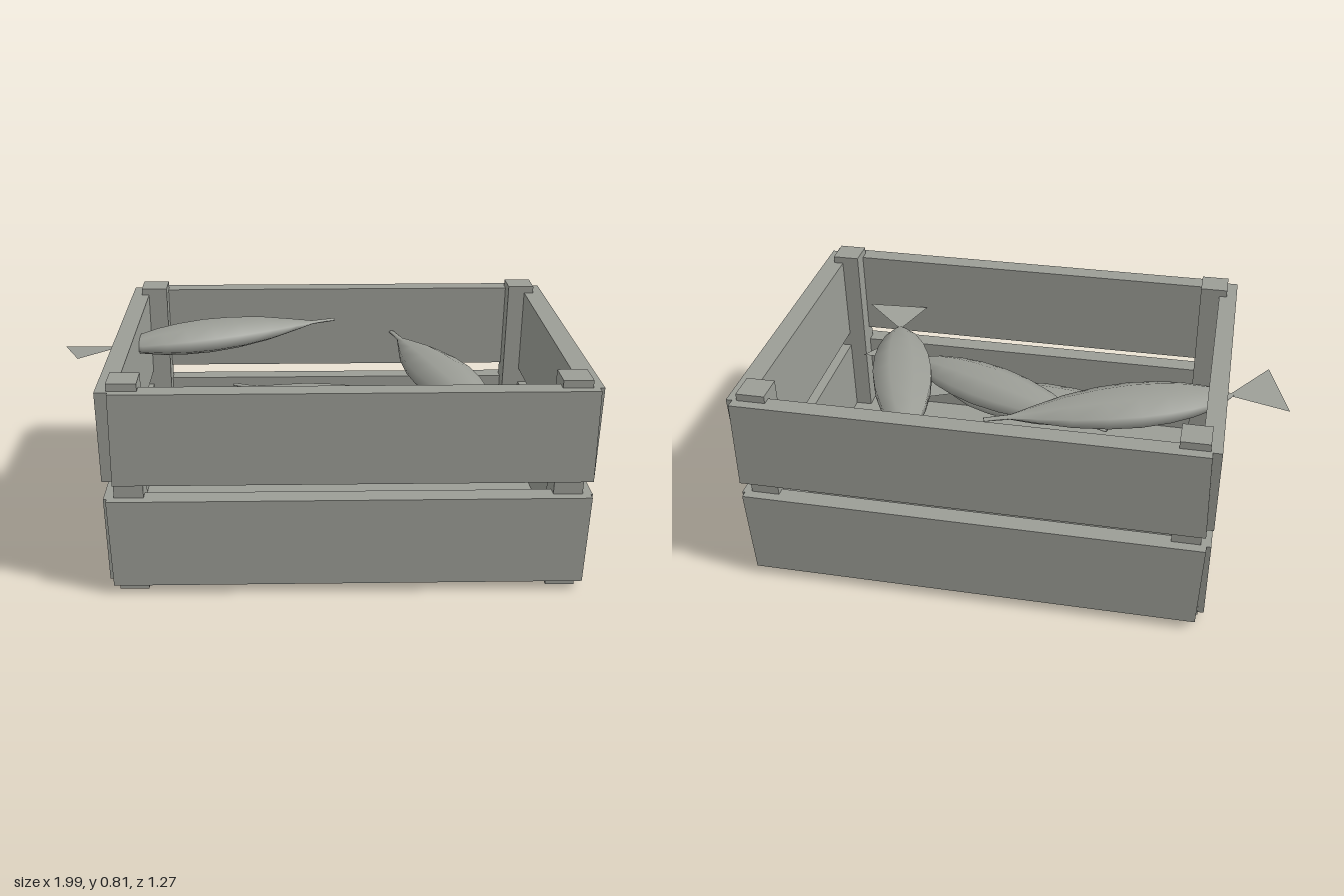
import * as THREE from 'three';

const grey = new THREE.MeshStandardMaterial({ color: 0x9b9d96 });
grey.name = 'weathered grey';
grey.side = THREE.DoubleSide;

// Board between two corners; its ends along one axis are pulled in at the top or bottom
function board(name, [x0, x1], [y0, y1], [z0, z1], axis = 'x', topInset = 0, bottomInset = 0) {
  const geo = new THREE.BoxGeometry(x1 - x0, y1 - y0, z1 - z0);
  const p = geo.attributes.position;
  for (let i = 0; i < p.count; i++) {
    const inset = p.getY(i) > 0 ? topInset : bottomInset;
    if (axis === 'x') p.setX(i, p.getX(i) - Math.sign(p.getX(i)) * inset);
    else p.setZ(i, p.getZ(i) - Math.sign(p.getZ(i)) * inset);
  }
  geo.computeVertexNormals();
  geo.translate((x0 + x1) / 2, (y0 + y1) / 2, (z0 + z1) / 2);
  const mesh = new THREE.Mesh(geo, grey);
  mesh.name = name;
  return mesh;
}

function createCrate() {
  const crate = new THREE.Group();
  crate.name = 'crate';

  // Corner posts
  for (const x of [-0.667, 0.907])
    for (const z of [-0.545, 0.545])
      crate.add(board('cornerPost', [x - 0.053, x + 0.053], [0, 0.815], [z - 0.054, z + 0.054]));

  // Two rows of wall planks
  const lower = [0.035, 0.377], upper = [0.44, 0.787];
  crate.add(
    board('frontPlankLower', [-0.745, 0.988], lower, [0.56, 0.634], 'x', 0, 0.008),
    board('frontPlankUpper', [-0.718, 0.986], upper, [0.56, 0.632], 'x', 0.004, 0),
    board('backPlankLower', [-0.74, 0.985], lower, [-0.636, -0.566], 'x', 0, 0.012),
    board('backPlankUpper', [-0.735, 0.985], upper, [-0.636, -0.566], 'x', 0.008, 0),
    board('rightPlankLower', [-0.757, -0.69], lower, [-0.605, 0.61], 'z', 0, 0.025),
    board('rightPlankUpper', [-0.76, -0.69], upper, [-0.605, 0.61], 'z', 0, 0.015),
    board('leftPlankLower', [0.922, 0.995], lower, [-0.61, 0.605], 'z', 0, 0.025),
    board('leftPlankUpper', [0.922, 1.0], upper, [-0.6, 0.6], 'z', 0, 0.015),
  );

  // Floor slats
  for (const [z0, z1, y] of [[-0.585, -0.208, 0.027], [-0.185, 0.192, 0.02], [0.213, 0.585, 0.03]])
    crate.add(board('floorSlat', [-0.735, 0.97], [y, 0.065], [z0, z1]));

  return crate;
}

// Fish lying on its side, snout at the origin, tail towards +x
const fishProfile = [
  [0, 0], [0.011, 0], [0.014, 0.1], [0.048, 0.19], [0.09, 0.31], [0.117, 0.44],
  [0.126, 0.56], [0.118, 0.67], [0.1, 0.76], [0.068, 0.85], [0.022, 0.92], [0, 0.945],
].map(([r, t]) => new THREE.Vector2(r, t));

function createFish(snout, tailEnd) {
  const fish = new THREE.Group();
  fish.name = 'fish';

  const bodyGeo = new THREE.LatheGeometry(fishProfile, 8);
  bodyGeo.rotateY(Math.PI / 8).rotateZ(-Math.PI / 2).scale(1, 0.48, 1);
  const body = new THREE.Mesh(bodyGeo, grey);
  body.name = 'fishBody';

  // Flat triangular tail with a slight twist
  const tailGeo = new THREE.BufferGeometry();
  tailGeo.setAttribute('position', new THREE.Float32BufferAttribute(
    [0.92, 0, 0, 1.12, 0.018, -0.122, 1.12, -0.015, 0.122], 3));
  tailGeo.setIndex([0, 2, 1]);
  tailGeo.computeVertexNormals();
  const tail = new THREE.Mesh(tailGeo, grey);
  tail.name = 'tailFin';

  fish.add(body, tail);
  fish.position.set(...snout);
  fish.rotation.y = -Math.atan2(tailEnd[1] - snout[2], tailEnd[0] - snout[0]);
  return fish;
}

export function createModel() {
  const model = new THREE.Group();
  model.name = 'fishCrate';
  model.add(createCrate());

  // Pile of fish: snout position, then the x and z of the tail end
  const pile = [
    [[0.1, 0.695, -0.425], [-0.957, -0.03]],
    [[0.36, 0.59, -0.56], [0.685, 0.5]],
    [[-0.32, 0.51, -0.15], [0.69, 0.29]],
    [[-0.58, 0.44, 0.075], [0.53, 0.105]],
  ];
  for (const [snout, tailEnd] of pile) model.add(createFish(snout, tailEnd));

  return model;
}
